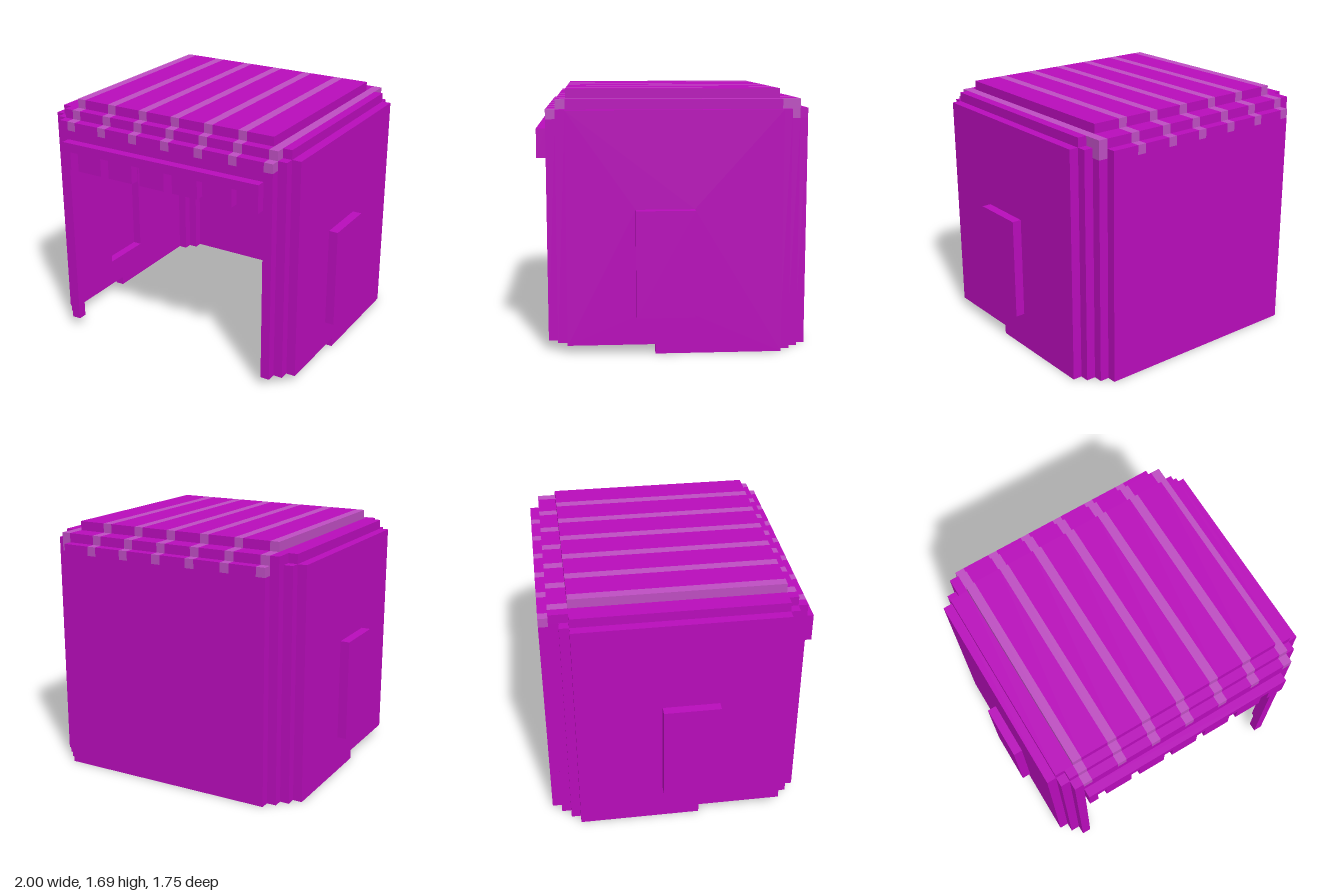
import * as THREE from 'three';

const U = 1 / 16; // one grid cell
const STRIPES = [-12, -8, -4, 0, 4, 8, 12]; // left cell edge of every stripe

export function createModel() {
  const model = new THREE.Group();
  model.name = 'steppedShell';
  const base = new THREE.MeshStandardMaterial({ color: 0xb80cba });
  base.name = 'magenta';
  const pale = new THREE.MeshStandardMaterial({ color: 0xbd4ec1 });
  pale.name = 'paleStripe';

  function add(name, geometry, material = base) {
    const mesh = new THREE.Mesh(geometry, material);
    mesh.name = name;
    model.add(mesh);
    return mesh;
  }

  // Box between two corners, in cells
  function box(name, [x0, x1], [y0, y1], [z0, z1], material = base) {
    const g = new THREE.BoxGeometry((x1 - x0) * U, (y1 - y0) * U, (z1 - z0) * U);
    g.translate((x0 + x1) / 2 * U, (y0 + y1) / 2 * U, (z0 + z1) / 2 * U);
    return add(name, g, material);
  }

  // Box cut along x into plain and striped segments
  function stripedBox(name, [x0, x1], y, z) {
    let x = x0;
    for (const s of STRIPES) {
      if (s < x0 || s >= x1) continue;
      if (s > x) box(name, [x, s], y, z);
      box(name + 'Stripe', [s, s + 1], y, z, pale);
      x = s + 1;
    }
    if (x < x1) box(name, [x, x1], y, z);
  }

  function outline(points) {
    return points.map(([a, b]) => new THREE.Vector2(a * U, b * U));
  }

  // Roof and its stepped rim
  stripedBox('roof', [-12, 12], [26, 27], [-11, 11]);
  stripedBox('frontRim', [-13, 13], [25, 26], [11, 12]);
  stripedBox('backRim', [-13, 13], [25, 26], [-13, -11]);
  box('rightRim', [-14, -12], [25, 26], [-11, 11]);
  box('leftRimStripe', [12, 13], [25, 26], [-11, 11], pale);
  box('leftRim', [13, 14], [25, 26], [-11, 11]);

  // Front header and back wall, striped along the top
  stripedBox('header', [-13, 13], [24, 25], [12, 13]);
  box('headerLower', [-12, 12], [23, 24], [12, 13]);
  stripedBox('backWallTop', [-12, 12], [24, 25], [-14, -13]);
  box('backWall', [-12, 12], [0, 24], [-14, -13]);
  stripedBox('backCornerTop', [12, 13], [24, 25], [-13, -12]);
  box('backCornerTop', [-13, -12], [24, 25], [-13, -12]);

  // Side wall profile in z and y, with a hole behind the raised panel
  const wall = new THREE.Shape(outline([[-11, 0], [2, 0], [2, 1], [11, 1], [11, 25], [-11, 25]]));
  wall.holes.push(new THREE.Path(outline([[-2, 4], [-2, 15], [4, 15], [4, 4]])));

  for (const [side, sx] of [['left', 1], ['right', -1]]) {
    const span = (a, b) => (sx > 0 ? [a, b] : [-b, -a]);
    const g = new THREE.ExtrudeGeometry(wall, { depth: U, bevelEnabled: false });
    g.rotateY(-Math.PI / 2);
    g.translate((sx > 0 ? 15 : -14) * U, 0, 0);
    add(side + 'Wall', g);
    box(side + 'Panel', span(15, 16), [4, 15], [-2, 4]);

    // Diagonal corner posts
    box(side + 'FrontInnerPost', span(12, 13), [1, 24], [12, 13]);
    box(side + 'FrontOuterPost', span(13, 14), [1, 25], [11, 12]);
    box(side + 'BackInnerPost', span(12, 13), [0, 24], [-13, -12]);
    box(side + 'BackOuterPost', span(13, 14), [0, 25], [-12, -11]);
  }

  // Notched fringe above the front opening
  const fringe = [[12, 20], [12, 23], [-12, 23], [-12, 20]];
  for (const n of [-11, -7, -3, 1, 5, 9]) {
    fringe.push([n, 20], [n, 22], [n + 1, 22], [n + 1, 20]);
  }
  const fringeGeo = new THREE.ExtrudeGeometry(new THREE.Shape(outline(fringe)), { depth: U, bevelEnabled: false });
  fringeGeo.translate(0, 0, 13 * U);
  add('fringe', fringeGeo);

  return model;
}
